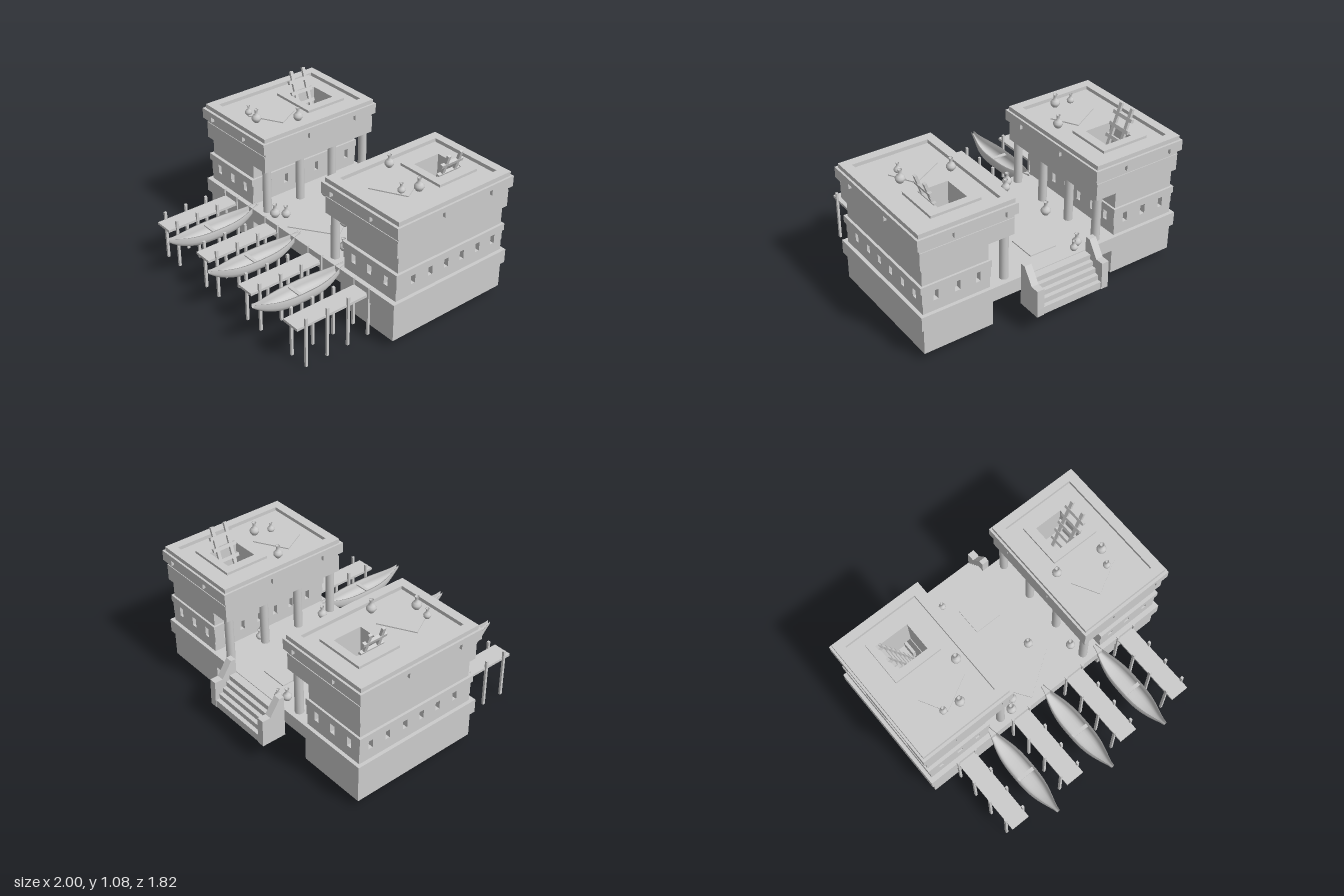
import * as THREE from 'three';

const mat = new THREE.MeshStandardMaterial({ color: 0xcccccc });
const hullMat = new THREE.MeshStandardMaterial({ color: 0xcccccc, side: THREE.DoubleSide });

function add(parent, name, geometry, x = 0, y = 0, z = 0, material = mat) {
  const mesh = new THREE.Mesh(geometry, material);
  mesh.name = name;
  mesh.position.set(x, y, z);
  parent.add(mesh);
  return mesh;
}

// Box given by its limits
function box(parent, name, x0, x1, y0, y1, z0, z1) {
  return add(parent, name, new THREE.BoxGeometry(Math.abs(x1 - x0), y1 - y0, z1 - z0),
    (x0 + x1) / 2, (y0 + y1) / 2, (z0 + z1) / 2);
}

// Rectangular ring [x0, x1, z0, z1] with a rectangular hole, from y0 to y1
function ring(parent, name, s, outer, hole, y0, y1) {
  const corners = ([a, b, z0, z1]) => {
    const x0 = Math.min(a * s, b * s), x1 = Math.max(a * s, b * s);
    return [[x0, z0], [x1, z0], [x1, z1], [x0, z1]].map(([x, z]) => new THREE.Vector2(x, z));
  };
  const shape = new THREE.Shape(corners(outer));
  shape.holes.push(new THREE.Path(corners(hole)));
  const g = new THREE.ExtrudeGeometry(shape, { depth: y1 - y0, bevelEnabled: false });
  g.rotateX(Math.PI / 2);
  return add(parent, name, g, 0, y1, 0);
}

function jar(parent, x, y, z, size) {
  const profile = [[0, 0], [0.018, 0], [0.03, 0.018], [0.031, 0.032], [0.022, 0.047], [0.011, 0.056],
    [0.01, 0.073], [0.015, 0.086], [0.012, 0.086], [0.006, 0.07], [0, 0.07]];
  const g = new THREE.LatheGeometry(profile.map(([r, h]) => new THREE.Vector2(r * size, h * size)), 14);
  add(parent, 'jar', g, x, y, z);
}

function floorMat(parent, x, y, z, w, d, turn) {
  add(parent, 'floorMat', new THREE.BoxGeometry(w, 0.008, d), x, y + 0.004, z).rotation.y = turn;
}

// Stepped band round the parapet: low and high panels alternate along each side
function parapetBand(tower, s) {
  const cutsZ = [-0.735, -0.55, -0.355, -0.145, 0.07, 0.24];
  const cutsX = [0.295, 0.38, 0.54, 0.75, 0.9, 1.0];
  for (let i = 0; i < 5; i++) {
    const y0 = i % 2 ? 0.87 : 0.83;
    for (const [a, b] of [[0.295, 0.33], [0.965, 1.0]])
      box(tower, 'parapetPanel', a * s, b * s, y0, 0.905, cutsZ[i], cutsZ[i + 1]);
    for (const [a, b] of [[-0.735, -0.70], [0.205, 0.24]])
      box(tower, 'parapetPanel', cutsX[i] * s, cutsX[i + 1] * s, y0, 0.905, a, b);
  }
}

// Ladder leaning out of the roof hatch
function ladder(tower, s) {
  const group = new THREE.Group();
  group.name = 'ladder';
  const top = [0.785, 1.08], foot = [0.55, 0.4];
  const dx = top[0] - foot[0], dy = top[1] - foot[1];
  for (const z of [-0.475, -0.37])
    add(group, 'ladderRail', new THREE.BoxGeometry(0.018, Math.hypot(dx, dy), 0.024), 0, 0, z);
  for (let i = 0; i < 8; i++)
    add(group, 'ladderRung', new THREE.BoxGeometry(0.022, 0.024, 0.18), 0, 0.285 - i * 0.082, -0.42);
  group.position.set(s * (top[0] + foot[0]) / 2, (top[1] + foot[1]) / 2, 0);
  group.rotation.z = -s * Math.atan2(dx, dy);
  tower.add(group);
}

function makeTower(s) {
  const tower = new THREE.Group();
  tower.name = s > 0 ? 'leftTower' : 'rightTower';
  const room = [0.535, 0.91, -0.64, 0.13];
  const hatch = [0.53, 0.735, -0.535, -0.325];

  ring(tower, 'foundation', s, [0.47, 0.97, -0.72, 0.22], [0.475, 0.965, -0.715, 0.215], 0.06, 0.25);
  ring(tower, 'lowerWall', s, [0.485, 0.965, -0.71, 0.205], room, 0.35, 0.425);
  ring(tower, 'windowCore', s, [0.515, 0.93, -0.67, 0.16], room, 0.425, 0.5);
  ring(tower, 'ledge', s, [0.475, 0.978, -0.715, 0.215], room, 0.5, 0.55);
  ring(tower, 'upperWall', s, [0.49, 0.96, -0.7, 0.19], room, 0.55, 0.68);

  // Blocks between the window slots
  const blocksX = [[0.478, 0.555], [0.59, 0.7], [0.74, 0.855], [0.89, 0.968]];
  const blocksZ = [[-0.71, -0.64], [-0.605, -0.505], [-0.47, -0.365], [-0.33, -0.23],
    [-0.195, -0.095], [-0.06, 0.05], [0.085, 0.205]];
  blocksZ.forEach(([z0, z1], i) => blocksX.forEach(([x0, x1], j) => {
    if (i % 6 === 0 || j % 3 === 0)
      box(tower, 'windowBlock', x0 * s, x1 * s, 0.425, 0.5, z0, z1);
  }));

  // Overhanging top storey, roof rim and hatch
  ring(tower, 'topStorey', s, [0.315, 0.98, -0.72, 0.22], hatch, 0.68, 0.8);
  ring(tower, 'roof', s, [0.315, 0.98, -0.715, 0.215], hatch, 0.8, 0.91);
  ring(tower, 'roofRim', s, [0.31, 0.985, -0.72, 0.22], [0.375, 0.92, -0.66, 0.155], 0.9, 0.935);
  ring(tower, 'hatchFrame', s, [0.465, 0.82, -0.59, -0.27], hatch, 0.91, 0.928);
  parapetBand(tower, s);
  ladder(tower, s);
  floorMat(tower, 0.62 * s, 0.91, -0.07, 0.26, 0.2, 0.5);

  // Portico columns
  for (let i = 0; i < 4; i++)
    add(tower, 'column', new THREE.CylinderGeometry(0.03, 0.03, 0.33, 16), 0.36 * s, 0.515, 0.175 - i * 0.283);
  return tower;
}

// Hull lofted from closed cross-sections: outer skin, then inner skin
function hullGeometry() {
  const N = 24, M = 10, L = 2 * (M + 1), pos = [], idx = [];
  for (let i = 0; i <= N; i++) {
    const t = -1 + 2 * i / N, a = Math.abs(t);
    const w = 0.011 + 0.064 * (1 - a ** 2.8) ** 1.7;
    const sheer = 0.33 + 0.037 * a ** 3;
    const keel = 0.24 + 0.1 * a ** 3.2;
    for (const inset of [0, 1])
      for (let j = 0; j <= M; j++) {
        const u = Math.PI * (inset ? M - j : j) / M;
        const k = inset ? 0.86 : 1;
        const c = Math.cos(u);
        pos.push(w * k * Math.sign(c) * Math.abs(c) ** 0.7,
          sheer - (sheer - keel) * k * Math.abs(Math.sin(u)) ** 0.6, t * 0.3625);
      }
  }
  for (let i = 0; i < N; i++)
    for (let j = 0; j < L; j++) {
      const a = i * L + j, b = i * L + (j + 1) % L;
      idx.push(a, a + L, b, b, a + L, b + L);
    }
  // End caps
  for (let j = 0; j < M; j++) {
    const e = N * L, k = L - 1 - j;
    idx.push(j, j + 1, k, j + 1, k - 1, k, e + j, e + k, e + j + 1, e + j + 1, e + k, e + k - 1);
  }
  const g = new THREE.BufferGeometry();
  g.setAttribute('position', new THREE.Float32BufferAttribute(pos, 3));
  g.setIndex(idx);
  g.computeVertexNormals();
  return g;
}

export function createModel() {
  const model = new THREE.Group();
  model.name = 'harbourBuilding';

  box(model, 'deck', -0.99, 0.99, 0.25, 0.35, -0.735, 0.24);
  for (const s of [-1, 1]) model.add(makeTower(s));

  // Back stairs with sloped side walls
  for (let i = 0; i < 5; i++) {
    const y = 0.345 - i * 0.036, z = -0.79 - i * 0.029;
    box(model, 'stairStep', -0.23, 0.23, y - 0.055, y, z, i ? z + 0.045 : -0.73);
  }
  const side = new THREE.Shape([[0.735, 0.145], [0.91, 0.145], [0.91, 0.2], [0.905, 0.34], [0.845, 0.34],
    [0.77, 0.45], [0.735, 0.45]].map(([a, b]) => new THREE.Vector2(a, b)));
  for (const x of [-0.285, 0.22]) {
    const g = new THREE.ExtrudeGeometry(side, { depth: 0.052, bevelEnabled: false });
    g.rotateY(Math.PI / 2);
    add(model, 'stairSideWall', g, x, 0, 0);
  }

  // Jetties on posts
  for (const x of [-0.7, -0.235, 0.23, 0.69]) {
    box(model, 'jettyPlank', x - 0.068, x + 0.068, 0.29, 0.308, 0.24, 0.8);
    for (const dx of [-0.071, 0.071])
      for (const z of [0.241, 0.406, 0.571, 0.736])
        add(model, 'jettyPost', new THREE.BoxGeometry(0.016, 0.362, 0.018), x + dx, 0.181, z);
  }

  // Boats
  const hull = hullGeometry();
  for (const x of [-0.47, -0.003, 0.458]) {
    const boat = new THREE.Group();
    boat.name = 'boat';
    add(boat, 'hull', hull, 0, 0, 0, hullMat);
    add(boat, 'boatSeat', new THREE.BoxGeometry(0.13, 0.008, 0.025), 0, 0.312, 0.03);
    boat.position.set(x, 0, 0.5425);
    model.add(boat);
  }

  // Jars on the deck and on the roofs: x, z, size
  for (const [x, z, size] of [[-0.22, -0.66, 1], [-0.17, -0.695, 0.8], [-0.27, -0.265, 1.1], [0.115, -0.11, 1],
    [-0.22, 0.125, 1], [-0.27, 0.18, 1.1], [0.33, 0.08, 1], [0.41, -0.4, 0.8], [0.45, -0.34, 1]])
    jar(model, x, 0.35, z, size);
  for (const [x, z, size] of [[-0.435, -0.155, 1.05], [0.43, -0.205, 1], [0.76, -0.15, 1.05],
    [0.715, -0.045, 0.8], [-0.705, 0.06, 0.8], [-0.59, 0.08, 1.05]])
    jar(model, x, 0.91, z, size);

  floorMat(model, 0, 0.35, 0.04, 0.36, 0.14, 0.6);
  floorMat(model, 0, 0.35, -0.5, 0.2, 0.2, 0);
  return model;
}
